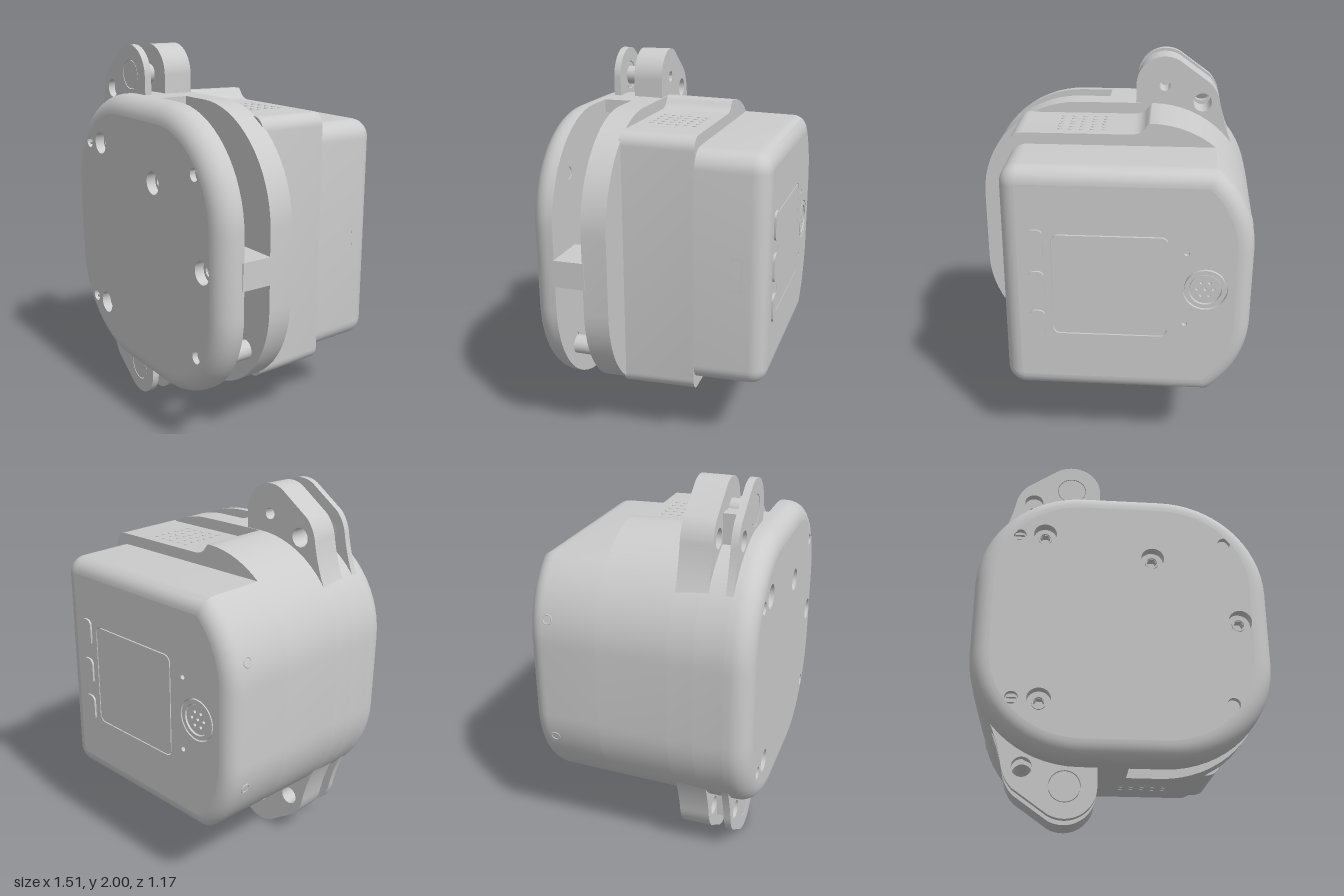
import * as THREE from 'three';
import { toCreasedNormals, mergeGeometries } from 'three/addons/utils/BufferGeometryUtils.js';

const mat = new THREE.MeshStandardMaterial({ color: 0xcccccc, side: THREE.DoubleSide });
const PI = Math.PI;

function arc(cx, cy, r, a0, a1, n = 16) {
  const pts = [];
  for (let i = 0; i <= n; i++) {
    const a = a0 + (a1 - a0) * i / n;
    pts.push(new THREE.Vector2(cx + r * Math.cos(a), cy + r * Math.sin(a)));
  }
  return pts;
}
const mirrorY = pts => pts.map(p => new THREE.Vector2(p.x, 2 - p.y)).reverse();
const circle = (x, y, r) => arc(x, y, r, 0, 2 * PI, 28).slice(0, -1);
function roundRect(cx, cy, w, h, r) {
  const x = w / 2 - r, y = h / 2 - r;
  return [...arc(cx + x, cy - y, r, -PI / 2, 0, 6), ...arc(cx + x, cy + y, r, 0, PI / 2, 6),
    ...arc(cx - x, cy + y, r, PI / 2, PI, 6), ...arc(cx - x, cy - y, r, PI, 1.5 * PI, 6)];
}

// Counter-clockwise outlines, shrunk by an inset
const plateOutline = (i = 0) => [
  ...arc(0.2, 0.8, 0.55 - i, -PI / 2, 0), ...arc(0.2, 1.2, 0.55 - i, 0, PI / 2),
  ...arc(-0.21, 1.2, 0.55 - i, PI / 2, PI), ...arc(-0.21, 0.8, 0.55 - i, PI, 1.5 * PI)];
function backOutline(i = 0) {
  const a = Math.asin((0.43 - i) / (0.55 - i)), r = 0.1;
  return [...arc(0.53 - r, 0.37 + r, r - i, -PI / 2, 0, 8), ...arc(0.53 - r, 1.63 - r, r - i, 0, PI / 2, 8),
    ...arc(-0.21, 1.2, 0.55 - i, PI - a, PI), ...arc(-0.21, 0.8, 0.55 - i, PI, PI + a)];
}

function extrude(pts, z0, z1, holes = []) {
  const s = new THREE.Shape(pts);
  s.holes = holes.map(h => new THREE.Path(h));
  const g = new THREE.ExtrudeGeometry(s, { depth: z1 - z0, bevelEnabled: false });
  return toCreasedNormals(g.translate(0, 0, z0), 0.5);
}

// Skin through [z, inset] sections of an outline
function loft(outline, sections) {
  const pos = [], idx = [];
  const n = outline(0).length;
  sections.forEach(([z, i]) => outline(i).forEach(p => pos.push(p.x, p.y, z)));
  for (let s = 0; s < sections.length - 1; s++) for (let j = 0; j < n; j++) {
    const a = s * n + j, b = s * n + (j + 1) % n;
    idx.push(a, b, a + n, b, b + n, a + n);
  }
  const g = new THREE.BufferGeometry();
  g.setAttribute('position', new THREE.Float32BufferAttribute(pos, 3));
  g.setIndex(idx);
  return toCreasedNormals(g, 0.6);
}

// Slight draft towards the back
function taper(g) {
  const p = g.attributes.position;
  for (let k = 0; k < p.count; k++) {
    const f = 1 - 0.03 * (0.3 - p.getZ(k));
    p.setXY(k, p.getX(k) * f, 1 + (p.getY(k) - 1) * f);
  }
  return g;
}
const box = (x0, x1, y0, y1, z0, z1) => new THREE.BoxGeometry(x1 - x0, y1 - y0, z1 - z0)
  .translate((x0 + x1) / 2, (y0 + y1) / 2, (z0 + z1) / 2);
const disc = (x, y, r, z0, z1) => new THREE.CylinderGeometry(r, r, z1 - z0, 32)
  .rotateX(PI / 2).translate(x, y, (z0 + z1) / 2);

export function createModel() {
  const model = new THREE.Group();
  const add = (name, geo) => {
    const m = new THREE.Mesh(geo, mat);
    m.name = name;
    model.add(m);
  };

  // Front cover with rounded rim and screw recesses
  const screws = [[-0.41, 1.47], [-0.41, 0.54], [0.15, 1.35], [0.59, 1.0]];
  const pins = [[-0.54, 1.46], [-0.54, 0.545], [0.53, 1.46], [0.53, 0.545]];
  const rim = [[0.45, 0.1], [0.45, 0]];
  for (let k = 0; k <= 8; k++) {
    const a = k / 8 * PI / 2;
    rim.push([0.48 + 0.1 * Math.sin(a), 0.1 - 0.1 * Math.cos(a)]);
  }
  add('frontCoverRim', loft(plateOutline, rim));
  add('frontCover', extrude(plateOutline(0.1), 0.45, 0.58,
    [...screws.map(([x, y]) => circle(x, y, 0.06)), ...pins.map(([x, y]) => circle(x, y, 0.033))]));
  for (const [x, y] of screws) {
    add('screwHead', extrude(circle(x, y, 0.06), 0.455, 0.53, [arc(x, y, 0.027, 0, 2 * PI, 6).slice(0, -1)]));
    add('screwCollar', extrude(circle(x, y, 0.035), 0.53, 0.54, [circle(x, y, 0.027)]));
    add('screwSocketFloor', disc(x, y, 0.04, 0.455, 0.49));
  }
  for (const [x, y] of pins) {
    add('pin', disc(x, y, 0.033, 0.455, 0.55));
    if (x < 0) for (const s of [-1, 1])
      add('pinSlotEdge', box(x - 0.025, x + 0.025, y + s * 0.013 - 0.006, y + s * 0.013 + 0.006, 0.55, 0.565));
  }

  // Wall closing the left half of the gap, and the base plate behind it
  const cWall = [new THREE.Vector2(0.03, 1.75), ...arc(-0.21, 1.2, 0.55, PI / 2, PI),
    ...arc(-0.21, 0.8, 0.55, PI, 1.5 * PI), new THREE.Vector2(0.03, 0.25), new THREE.Vector2(0.03, 0.32),
    ...arc(-0.21, 0.8, 0.48, 1.5 * PI, PI), ...arc(-0.21, 1.2, 0.48, PI, PI / 2), new THREE.Vector2(0.03, 1.68)];
  add('leftWall', extrude(cWall, 0.3, 0.45));
  add('basePlate', taper(extrude(plateOutline(), 0.17, 0.3)));

  // Parts inside the gap
  add('rollerFlange', disc(0.15, 1.35, 0.23, 0.31, 0.335));
  add('roller', disc(0.15, 1.35, 0.205, 0.335, 0.43));
  add('rollerAxle', disc(0.15, 1.35, 0.06, 0.29, 0.46));
  add('innerBlock', box(-0.1, 0.3, 0.44, 0.9, 0.3, 0.43));
  add('sidePost', box(0.5, 0.755, 0.93, 1.07, 0.29, 0.46));
  add('screwBoss', extrude(circle(0.56, 0.53, 0.05), 0.3, 0.43, [circle(0.56, 0.53, 0.028)]));

  // Mid body: rounded left hump stepping down to a flat panel
  const v = (x, y) => new THREE.Vector2(x, y);
  const upper = [...arc(0.46, 1.62, 0.07, 0, PI / 2, 8), v(-0.12, 1.69), v(-0.15, 1.695), v(-0.175, 1.71),
    v(-0.19, 1.73), v(-0.205, 1.748), ...arc(-0.21, 1.2, 0.55, PI / 2, PI)];
  add('midBody', taper(extrude([...upper, ...mirrorY(upper)], -0.205, 0.18)));

  // Rear body with rounded back edge
  const back = [];
  for (let k = 0; k <= 8; k++) {
    const a = k / 8 * PI / 2;
    back.push([-0.49 - 0.085 * Math.cos(a), 0.085 - 0.085 * Math.sin(a)]);
  }
  back.push([-0.2, 0]);
  add('rearBody', taper(loft(backOutline, back)));
  const sensorHoles = [[-0.42, 1.2], [-0.42, 0.8]].map(([x, y]) => circle(x, y, 0.014));
  add('backFace', taper(extrude(backOutline(0.085), -0.575, -0.54,
    [roundRect(-0.03, 1, 0.6, 0.57, 0.04), circle(-0.52, 1, 0.115), ...sensorHoles])));
  add('backFaceSupport', taper(extrude(backOutline(0.085), -0.55, -0.2)));
  add('screenPanel', taper(extrude(roundRect(-0.03, 1, 0.588, 0.558, 0.035), -0.575, -0.545)));

  // Round speaker with pierced centre
  const holes = [circle(-0.52, 1, 0.009)];
  for (let k = 0; k < 6; k++)
    holes.push(circle(-0.52 + 0.042 * Math.cos(k * PI / 3), 1 + 0.042 * Math.sin(k * PI / 3), 0.009));
  add('speakerRing', taper(extrude(circle(-0.52, 1, 0.107), -0.575, -0.545, [circle(-0.52, 1, 0.085)])));
  add('speakerFace', taper(extrude(circle(-0.52, 1, 0.08), -0.568, -0.545, holes)));

  // Push buttons
  for (const y of [0.78, 1.0, 1.225])
    add('button', extrude(roundRect(0.34, y, 0.08, 0.15, 0.03), -0.586, -0.56));

  // Port frame on the right-hand face
  const port = extrude(roundRect(0, 0, 0.07, 0.185, 0.012), 0, 0.006, [roundRect(0, 0, 0.045, 0.15, 0.008)]);
  add('portFrame', port.rotateY(PI / 2).translate(0.513, 1.005, -0.42));

  // Vent dots above and below
  for (const s of [1, -1]) {
    const dots = [];
    for (let i = 0; i < 5; i++) for (let j = 0; j < 6; j++) {
      const z = -0.13 + j * 0.046;
      const y = 0.69 * (1 - 0.03 * (0.3 - z));
      dots.push(new THREE.CylinderGeometry(0.011, 0.011, 0.006, 12)
        .translate(0.035 + i * 0.0575, 1 + s * y, z));
    }
    add(s > 0 ? 'topVents' : 'bottomVents', mergeGeometries(dots));
    // Small hole rim on the curved side
    const rimGeo = new THREE.TorusGeometry(0.024, 0.004, 8, 24).rotateY(PI / 2).rotateZ(-s * 0.26);
    add('sideHoleRim', rimGeo.translate(-0.724, 1 + s * 0.332, -0.46));
  }

  // Strap lugs: rear lug, front plate and connecting pin
  const lug = new THREE.Shape();
  lug.moveTo(-0.12, 1.6);
  lug.lineTo(-0.12, 1.845);
  lug.absarc(-0.275, 1.845, 0.155, 0, 2.1, false);
  lug.lineTo(-0.52, 1.86);
  lug.quadraticCurveTo(-0.56, 1.82, -0.575, 1.76);
  lug.quadraticCurveTo(-0.6, 1.62, -0.66, 1.5);
  lug.lineTo(-0.4, 1.5);
  const lugPts = lug.getPoints(16);
  for (const top of [true, false]) {
    const side = pts => top ? pts : mirrorY(pts);
    const Y = y => top ? y : 2 - y;
    const prefix = top ? 'upper' : 'lower';
    const hole = circle(-0.48, Y(1.755), 0.05);
    add(prefix + 'Lug', extrude(side(lugPts), 0.175, 0.335, [hole, circle(-0.275, Y(1.845), 0.03)]));
    add(prefix + 'LugPlate', extrude(side(lugPts), 0.418, 0.455, [hole, circle(-0.275, Y(1.845), 0.078)]));
    add(prefix + 'PinHead', disc(-0.275, Y(1.845), 0.074, 0.42, 0.454));
    add(prefix + 'Pin', disc(-0.275, Y(1.845), 0.05, 0.31, 0.43));
    add(prefix + 'LugSpacer', box(-0.42, -0.33, Math.min(Y(1.7), Y(1.86)), Math.max(Y(1.7), Y(1.86)), 0.33, 0.42));
  }
  return model;
}
